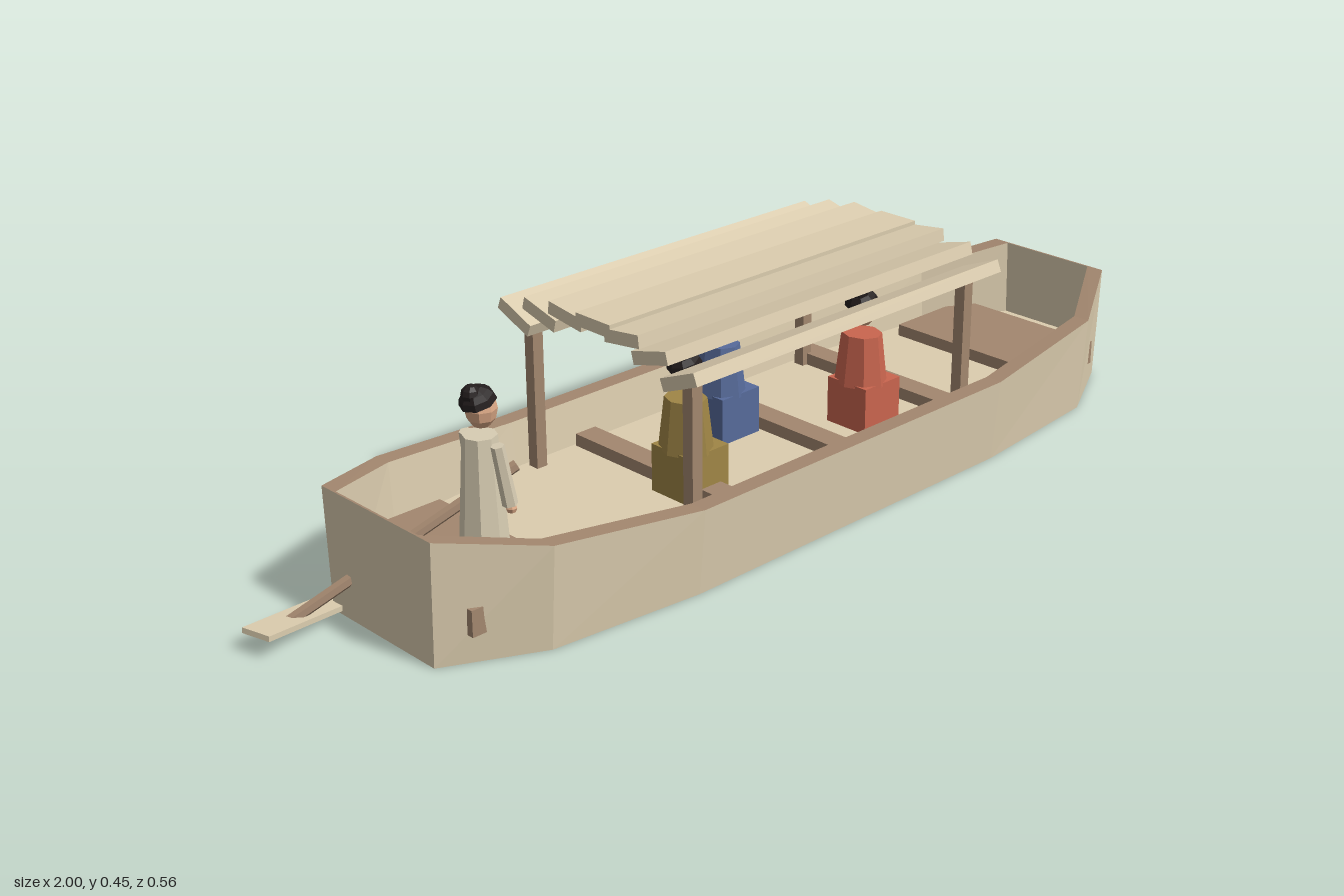
import * as THREE from 'three';

const mat = (name, color) => Object.assign(new THREE.MeshStandardMaterial({ color }), { name, flatShading: true });

export function createModel() {
  const model = new THREE.Group();
  model.name = 'passengerBoat';
  const wood = mat('paleWood', 0xdccdaf), brown = mat('brownWood', 0xa3876f);
  const skin = mat('skin', 0xdca986), hair = mat('blackHair', 0x231d1d);
  const ochre = mat('ochreRobe', 0xa08646), blue = mat('blueRobe', 0x576b9b);
  const red = mat('redRobe', 0xca654f), linen = mat('linenRobe', 0xd8cdb3);
  hair.side = THREE.DoubleSide;

  const add = (parent, name, geo, material, x = 0, y = 0, z = 0) => {
    const m = new THREE.Mesh(geo, material);
    m.name = name;
    m.position.set(x, y, z);
    parent.add(m);
    return m;
  };
  const box = (parent, name, w, h, d, material, x, y, z) =>
    add(parent, name, new THREE.BoxGeometry(w, h, d), material, x, y, z);

  // Tapered bar running between two points
  const bar = (parent, name, a, b, r0, r1, sides, material) => {
    const p = new THREE.Vector3(...a), q = new THREE.Vector3(...b);
    const m = add(parent, name, new THREE.CylinderGeometry(r1, r0, p.distanceTo(q), sides), material);
    m.position.copy(p).add(q).multiplyScalar(0.5);
    m.quaternion.setFromUnitVectors(new THREE.Vector3(0, 1, 0), q.sub(p).normalize());
  };

  // Hull stations: x, half width at the rail, rail height
  const stations = [
    [-0.81, 0.15, 0.235], [-0.63, 0.245, 0.2], [-0.32, 0.28, 0.17],
    [0.49, 0.28, 0.17], [0.82, 0.245, 0.2], [1, 0.145, 0.24],
  ];
  const ring = (point) => [
    ...stations.map((s) => point(s, 1)),
    ...stations.slice().reverse().map((s) => point(s, -1)),
  ];
  const inX = (x) => (x < -0.8 ? x + 0.004 : x > 0.99 ? x - 0.004 : x);
  const wall = 0.036;
  const outerTop = ring(([x, w, y], s) => [x, y, s * w]);
  const outerBottom = ring(([x, w], s) => [x, 0, s * w * 0.945]);
  const innerTop = ring(([x, w, y], s) => [inX(x), y, s * (w - wall)]);
  const innerBottom = ring(([x, w], s) => [inX(x), 0, s * (w * 0.945 - wall)]);
  const floorEdge = (y) => ring(([x, w], s) => [inX(x), y, s * (w * 0.97 - wall)]);
  const centre = (y) => ring(() => [0.1, y, 0]);

  // Closed band of quads between two rings
  const band = (name, a, b, material) => {
    const v = [];
    a.forEach((p, i) => {
      const j = (i + 1) % a.length;
      v.push(...p, ...a[j], ...b[j], ...p, ...b[j], ...b[i]);
    });
    const g = new THREE.BufferGeometry();
    g.setAttribute('position', new THREE.Float32BufferAttribute(v, 3));
    g.computeVertexNormals();
    add(model, name, g, material);
  };
  band('hullSides', outerBottom, outerTop, wood);
  band('innerSides', innerTop, innerBottom, wood);
  band('hullLowerEdge', innerBottom, outerBottom, wood);
  band('gunwale', outerTop, innerTop, brown);
  // Raised floor, open underneath
  band('floorTop', floorEdge(0.08), centre(0.08), wood);
  band('floorUnderside', centre(0.065), floorEdge(0.065), wood);

  // End decks and cross benches
  box(model, 'sternDeck', 0.22, 0.05, 0.37, brown, -0.65, 0.08, 0);
  box(model, 'bowDeck', 0.22, 0.05, 0.355, brown, 0.82, 0.08, 0.003);
  for (const x of [-0.15, 0.16, 0.47]) box(model, 'thwart', 0.05, 0.055, 0.46, brown, x, 0.0775, 0);

  // Canopy posts and overlapping roof planks
  for (const x of [-0.285, 0.445])
    for (const s of [-1, 1]) box(model, 'canopyPost', 0.024, 0.31, 0.024, brown, x, 0.23, s * 0.2125);
  const planks = [[0, 0.435, 0], [0.075, 0.431, 0.13], [0.147, 0.415, 0.26], [0.219, 0.391, 0.39]];
  for (const [z, y, tilt] of planks)
    for (const s of z ? [-1, 1] : [1])
      box(model, 'roofPlank', 0.815, 0.025, 0.09, wood, 0.083, y, s * z).rotation.x = -s * tilt;

  // Head and swept-back hair, facing +x
  const addHead = (parent, x, y) => {
    add(parent, 'head', new THREE.SphereGeometry(0.029, 8, 6), skin, x, y, 0).scale.y = 1.28;
    const cap = add(parent, 'hairCap',
      new THREE.SphereGeometry(0.034, 8, 4, 0, Math.PI * 2, 0, Math.PI * 0.46), hair, x - 0.004, y + 0.009, 0);
    cap.rotation.z = 0.3;
  };

  // Seated passengers
  for (const [x, z, robe] of [[-0.165, 0.069, ochre], [0.067, -0.08, blue], [0.301, 0.079, red]]) {
    const person = new THREE.Group();
    person.name = 'passenger';
    person.position.set(x, 0, z);
    model.add(person);
    box(person, 'lap', 0.1, 0.096, 0.1, robe, 0.01, 0.127, 0);
    add(person, 'torso', new THREE.CylinderGeometry(0.037, 0.048, 0.103, 8), robe, 0, 0.2205, 0).scale.z = 1.15;
    addHead(person, 0.003, 0.322);
    add(person, 'topknot', new THREE.CylinderGeometry(0.021, 0.021, 0.024, 8), hair, -0.01, 0.364, 0);
  }

  // Standing boatman
  const boatman = new THREE.Group();
  boatman.name = 'boatman';
  boatman.position.set(-0.605, 0, 0.027);
  model.add(boatman);
  add(boatman, 'robe', new THREE.CylinderGeometry(0.031, 0.045, 0.218, 8), linen, 0, 0.214, 0);
  addHead(boatman, 0.005, 0.37);
  add(boatman, 'topknot', new THREE.SphereGeometry(0.018, 8, 6), hair, -0.014, 0.4, 0);
  for (const s of [-1, 1]) {
    bar(boatman, 'arm', [0.022, 0.2, s * 0.047], [0.003, 0.314, s * 0.043], 0.014, 0.012, 6, linen);
    add(boatman, 'hand', new THREE.SphereGeometry(0.011, 6, 4), skin, 0.024, 0.193, s * 0.047);
  }

  // Steering oar
  bar(model, 'oarShaft', [-0.915, 0.02, -0.127], [-0.515, 0.23, 0.01], 0.011, 0.011, 6, brown);
  box(model, 'oarBlade', 0.21, 0.01, 0.06, wood, -0.893, 0.024, -0.125).rotation.set(0, 0.25, -0.15);

  return model;
}
